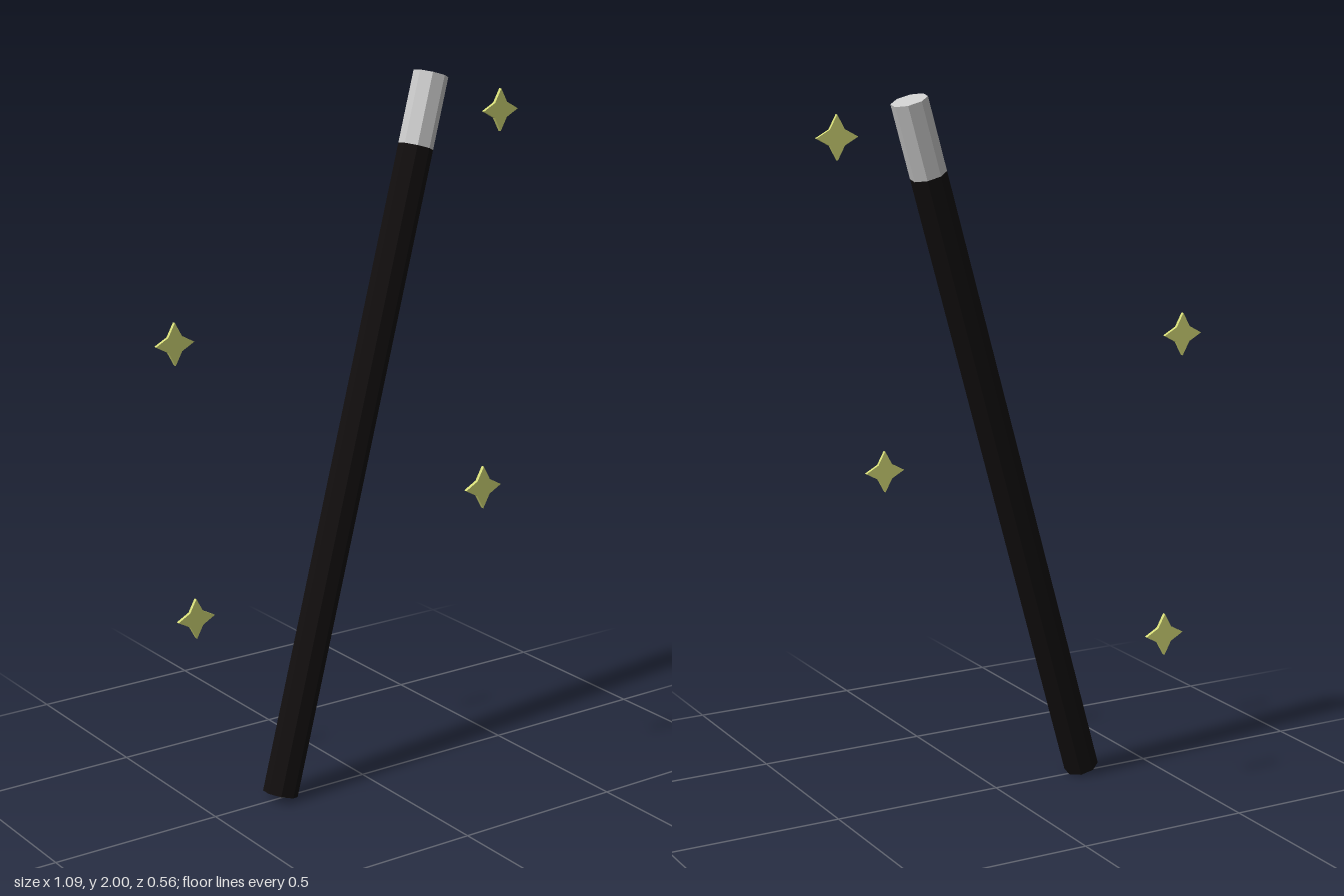
import * as THREE from 'three';

const material = (color) => new THREE.MeshStandardMaterial({ color, flatShading: true });

// Four-pointed star plate, centred on its own origin
function starGeometry(outer, inner, depth) {
  const points = Array.from({ length: 8 }, (_, i) => {
    const r = i % 2 ? inner : outer;
    const a = (i * Math.PI) / 4;
    return new THREE.Vector2(r * Math.cos(a), r * Math.sin(a));
  });
  const geometry = new THREE.ExtrudeGeometry(new THREE.Shape(points), { depth, bevelEnabled: false });
  return geometry.translate(0, 0, -depth / 2);
}

export function createModel() {
  const model = new THREE.Group();

  // Wand: octagonal rod, tilted sideways and then turned about the vertical
  const base = new THREE.Vector3(-0.287, 0.015, 0.004);
  const top = new THREE.Vector3(0.336, 1.985, -0.146);
  const axis = top.clone().sub(base);
  const length = axis.length();
  const tipLength = length * 0.1;
  const radius = 0.05;

  const wand = new THREE.Group();
  wand.name = 'wand';
  wand.position.copy(base);
  wand.rotation.order = 'YZX';
  wand.rotation.z = -Math.atan2(Math.hypot(axis.x, axis.z), axis.y);
  wand.rotation.y = Math.atan2(-axis.z, axis.x);
  model.add(wand);

  const addSection = (name, from, to, color) => {
    const geometry = new THREE.CylinderGeometry(radius, radius, to - from, 8);
    const mesh = new THREE.Mesh(geometry, material(color));
    mesh.name = name;
    mesh.position.y = (from + to) / 2;
    wand.add(mesh);
  };
  addSection('wandShaft', 0, length - tipLength, 0x110e0e);
  addSection('wandTip', length - tipLength, length, 0xcccccc);

  // Sparkles floating around the wand
  const sparkle = starGeometry(0.06, 0.03, 0.01);
  const sparkleMaterial = material(0xd6dc78);
  const sparkles = [
    [0.484, 1.886, -0.02],
    [-0.487, 1.312, -0.19],
    [0.212, 0.902, 0.273],
    [-0.386, 0.478, -0.276],
  ];
  sparkles.forEach((position, i) => {
    const mesh = new THREE.Mesh(sparkle, sparkleMaterial);
    mesh.name = `sparkle${i + 1}`;
    mesh.position.set(...position);
    model.add(mesh);
  });

  return model;
}
